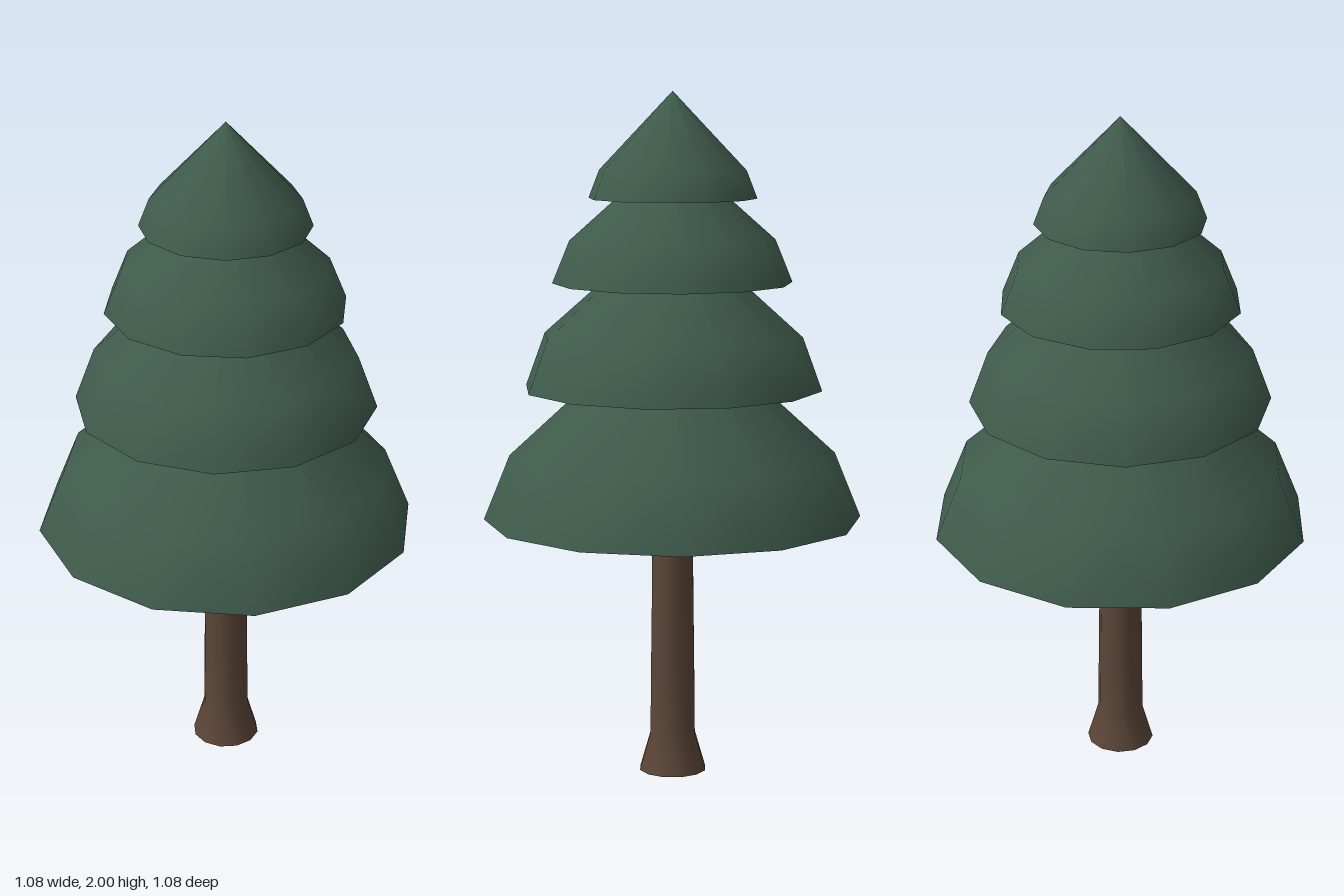
import * as THREE from 'three';

const SIDES = 12;
const rad = THREE.MathUtils.degToRad;

// Smooth twelve-sided shell from [radius, height] pairs, bottom to top
function shell(name, profile, turn, material) {
  const points = profile.map(([r, y]) => new THREE.Vector2(r, y));
  const mesh = new THREE.Mesh(new THREE.LatheGeometry(points, SIDES, -rad(turn)), material);
  mesh.name = name;
  return mesh;
}

export function createModel() {
  const needles = new THREE.MeshStandardMaterial({ color: 0x3e5a4b, side: THREE.DoubleSide });
  needles.name = 'needle green';
  const bark = new THREE.MeshStandardMaterial({ color: 0x5c4638, side: THREE.DoubleSide });
  bark.name = 'bark brown';

  const tree = new THREE.Group();
  tree.name = 'pineTree';

  // Trunk with a flared foot, open at the bottom
  tree.add(shell('trunk', [
    [0.1, 0], [0.068, 0.11], [0.066, 0.31], [0.063, 0.54], [0.061, 0.765],
  ], 0, bark));

  // Foliage tiers: rim, shoulder and tip, each turned a little differently
  const tiers = [
    { rim: [0.553, 0.76], shoulder: [0.476, 0.95], tip: 1.385, turn: 11.5 },
    { rim: [0.437, 1.145], shoulder: [0.38, 1.3], tip: 1.635, turn: -6 },
    { rim: [0.348, 1.452], shoulder: [0.298, 1.575], tip: 1.84, turn: 10 },
    { rim: [0.244, 1.695], shoulder: [0.213, 1.775], tip: 2, turn: -10 },
  ];
  tiers.forEach(({ rim, shoulder, tip, turn }, i) => {
    tree.add(shell(`foliageTier${i + 1}`, [rim, shoulder, [0, tip]], turn, needles));
  });

  // Flat underside closing the lowest tier
  const { rim, turn } = tiers[0];
  const underside = new THREE.Mesh(
    new THREE.CircleGeometry(rim[0], SIDES, rad(turn)).rotateX(Math.PI / 2), needles);
  underside.position.y = rim[1];
  underside.name = 'foliageUnderside';
  tree.add(underside);

  return tree;
}
